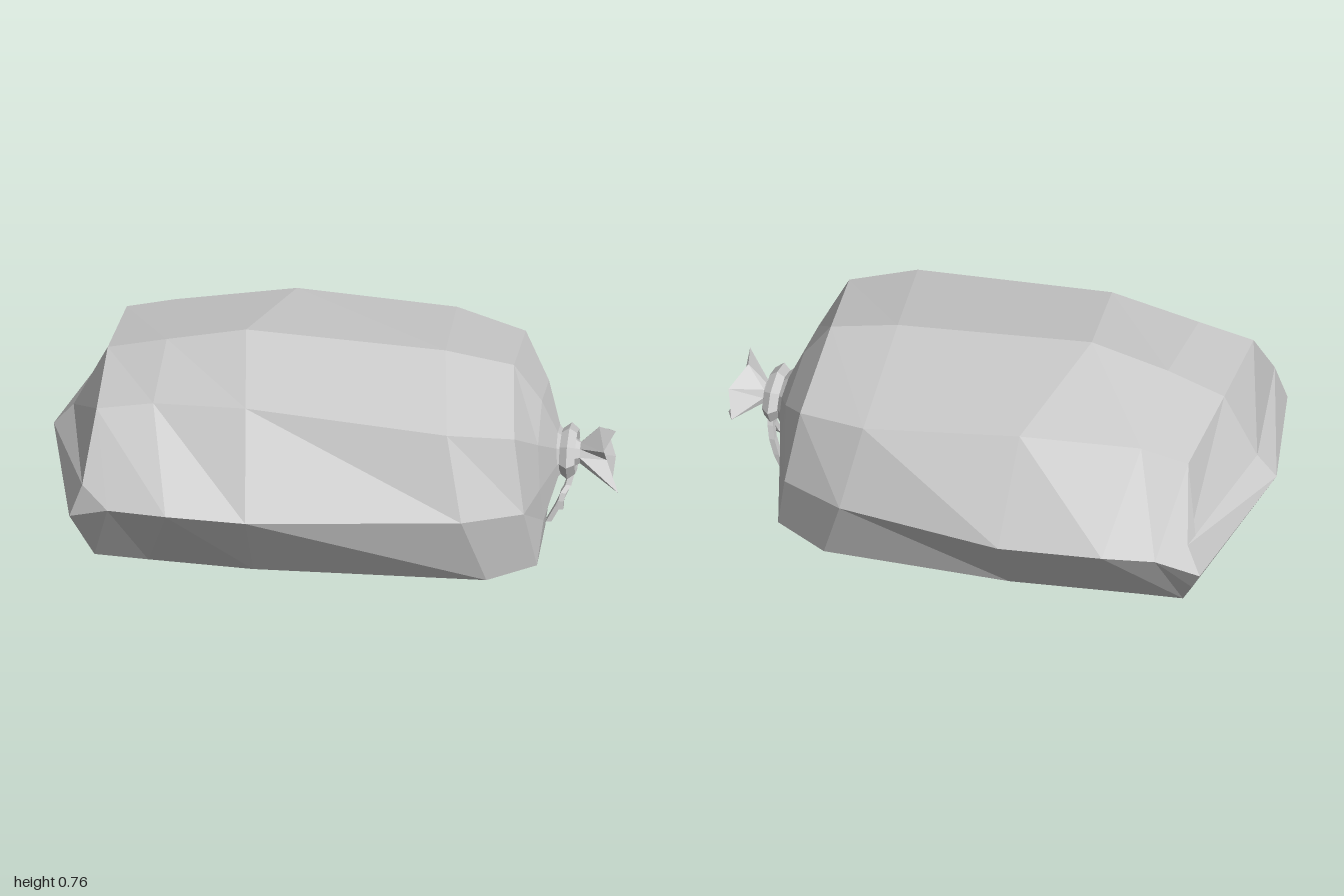
import * as THREE from 'three';

const material = new THREE.MeshStandardMaterial({ color: 0xcccccc, flatShading: true, side: THREE.DoubleSide });

// Skin a list of equal-length rings of [x, y, z] points
function loft(rings) {
  const pos = [];
  for (let i = 0; i + 1 < rings.length; i++) {
    const r = rings[i], s = rings[i + 1], n = r.length;
    for (let j = 0; j < n; j++) {
      const k = (j + 1) % n;
      pos.push(...r[j], ...s[j], ...r[k], ...r[k], ...s[j], ...s[k]);
    }
  }
  const g = new THREE.BufferGeometry();
  g.setAttribute('position', new THREE.Float32BufferAttribute(pos, 3));
  g.computeVertexNormals();
  return g;
}

// Eight-sided sack section; the back half mirrors the front, shifted by dx and widened by dz
function section({ crown, shoulder, side, base, keel, dx = 0, dz = 0 }) {
  const back = ([x, y, z]) => [x + dx, y, -z - dz];
  return [crown, shoulder, side, base, keel, back(base), back(side), back(shoulder)];
}

// Move a ring towards a centre and a given x, for the gathered end
const gather = (ring, s, x, y) => ring.map(p => [x + (p[0] - 0.69) * s * 0.4, y + (p[1] - y) * s, p[2] * s]);

function createModel() {
  const group = new THREE.Group();
  const add = (name, geometry) => {
    const mesh = new THREE.Mesh(geometry, material);
    mesh.name = name;
    group.add(mesh);
    return mesh;
  };

  // Sack body, from the tied end to the closed end
  const sections = [
    { crown: [0.62, 0.655, 0], shoulder: [0.66, 0.57, 0.38], side: [0.70, 0.305, 0.44],
      base: [0.74, 0.07, 0.38], keel: [0.73, 0.02, 0], dx: -0.04, dz: 0.02 },
    { crown: [0.38, 0.705, 0.01], shoulder: [0.43, 0.61, 0.45], side: [0.49, 0.315, 0.545],
      base: [0.57, 0.045, 0.46], keel: [0.55, 0.015, 0], dx: -0.06, dz: 0.025 },
    { crown: [-0.32, 0.76, 0.03], shoulder: [-0.28, 0.67, 0.435], side: [-0.26, 0.325, 0.645],
      base: [-0.25, 0.045, 0.465], keel: [-0.25, 0.012, 0], dx: 0.09, dz: 0.01 },
    { crown: [-0.6, 0.70, 0.02], shoulder: [-0.61, 0.645, 0.385], side: [-0.54, 0.338, 0.648],
      base: [-0.62, 0.06, 0.46], keel: [-0.6, 0.02, 0], dx: 0, dz: -0.02 },
    { crown: [-0.81, 0.645, 0], shoulder: [-0.81, 0.61, 0.38], side: [-0.75, 0.325, 0.6],
      base: [-0.81, 0.065, 0.45], keel: [-0.81, 0.05, 0], dx: 0.03, dz: -0.02 },
    { crown: [-0.93, 0.41, 0], shoulder: [-0.845, 0.385, 0.53], side: [-0.89, 0.26, 0.535],
      base: [-0.85, 0.17, 0.49], keel: [-0.88, 0.24, 0], dx: 0.02, dz: 0 },
  ].map(section);
  const mouth = sections[0];
  const tip = mouth.map(() => [-1, 0.33, 0]);
  add('sackBody', loft([
    gather(mouth, 0.12, 0.82, 0.32), gather(mouth, 0.22, 0.78, 0.32), gather(mouth, 0.6, 0.735, 0.31),
    ...sections, tip,
  ]));

  // Cord wound round the neck
  const cord = add('neckCord', new THREE.TorusGeometry(0.075, 0.032, 5, 8));
  cord.rotation.y = Math.PI / 2;
  cord.scale.set(1.2, 0.85, 0.9);
  cord.position.set(0.815, 0.322, 0);

  // Flared, folded cloth beyond the cord
  const rim = [
    [0.92, 0.425, 0], [0.95, 0.395, 0.13], [0.95, 0.315, 0.04], [1.0, 0.235, 0.13],
    [0.965, 0.205, 0], [0.97, 0.265, -0.08], [0.93, 0.315, -0.185], [0.97, 0.365, -0.08],
  ];
  const neck = (x, r) => rim.map((_, i) => {
    const a = i * Math.PI / 4;
    return [x, 0.318 + r * Math.cos(a), r * Math.sin(a)];
  });
  add('clothFlare', loft([rim.map(() => [0.93, 0.315, 0]), rim, neck(0.855, 0.04), neck(0.8, 0.07)]));

  // Loose cord ends hanging from the knot
  const cordEnd = (name, points) => {
    const curve = new THREE.CatmullRomCurve3(points.map(p => new THREE.Vector3(...p)));
    const rings = [];
    for (let i = 0; i <= 5; i++) {
      const p = curve.getPoint(i / 5);
      rings.push([[0.01, 0.014], [0.01, -0.014], [-0.01, -0.014], [-0.01, 0.014]]
        .map(([dx, dz]) => [p.x + dx, p.y, p.z + dz]));
    }
    const end = ring => ring.map(() => [0, 1, 2].map(k => (ring[0][k] + ring[2][k]) / 2));
    add(name, loft([end(rings[0]), ...rings, end(rings[5])].reverse()));
  };
  cordEnd('longCordEnd', [[0.825, 0.27, -0.04], [0.815, 0.2, -0.07], [0.785, 0.1, -0.08], [0.735, 0, -0.075]]);
  cordEnd('shortCordEnd', [[0.825, 0.27, -0.045], [0.815, 0.19, -0.025], [0.79, 0.15, 0.005], [0.785, 0.1, 0.012]]);

  return group;
}

export { createModel };
